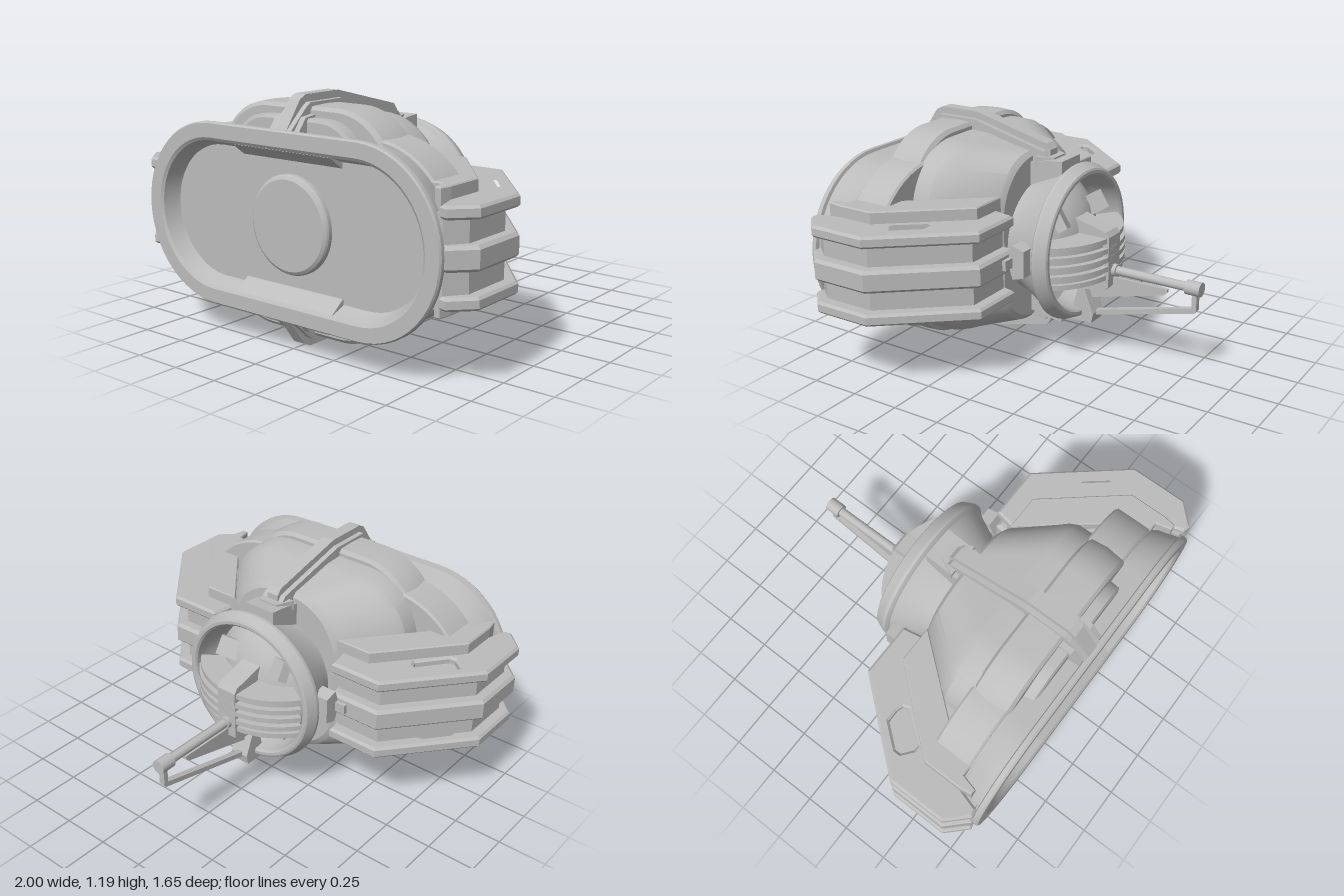
import * as THREE from 'three';
import { toCreasedNormals } from 'three/addons/utils/BufferGeometryUtils.js';

const CY = 0.597; // height of the central axis

export function createModel() {
  const model = new THREE.Group();
  model.name = 'pod';
  const grey = new THREE.MeshStandardMaterial({ color: 0xbcbcbc });
  grey.name = 'grey metal';

  const add = (name, geo, x = 0, y = 0, z = 0) => {
    const mesh = new THREE.Mesh(geo, grey);
    mesh.name = name;
    mesh.position.set(x, y, z);
    model.add(mesh);
    return mesh;
  };
  const toShape = (pts) => new THREE.Shape(pts.map(([a, b]) => new THREE.Vector2(a, b)));

  // Skin through rounded sections [z, halfWidth, halfHeight, cornerRadius], front to back
  const loft = (sections) => {
    const pos = [], idx = [], Q = 14, N = Q * 4;
    for (const [z, hx, hy, r = Math.min(hx, hy)] of sections) {
      for (let q = 0; q < 4; q++) {
        const sx = q === 0 || q === 3 ? 1 : -1, sy = q < 2 ? 1 : -1;
        for (let k = 0; k < Q; k++) {
          const a = (q + k / (Q - 1)) * Math.PI / 2;
          pos.push(sx * (hx - r) + r * Math.cos(a), sy * (hy - r) + r * Math.sin(a), z);
        }
      }
    }
    for (let i = 0; i < sections.length - 1; i++) {
      for (let j = 0; j < N; j++) {
        const a = i * N + j, b = i * N + (j + 1) % N;
        idx.push(a, a + N, b + N, a, b + N, b);
      }
    }
    const g = new THREE.BufferGeometry();
    g.setAttribute('position', new THREE.Float32BufferAttribute(pos, 3));
    g.setIndex(idx);
    return toCreasedNormals(g, 0.4);
  };

  // Side profile [z, y] extruded across x, centred on x = 0
  const across = (pts, half) => new THREE.ExtrudeGeometry(toShape(pts), { depth: half * 2, bevelEnabled: false })
    .translate(0, 0, -half).rotateY(-Math.PI / 2);

  // Plan outline [x, z] extruded from y0 to y1, with optional hole and chamfer
  const slab = (pts, y0, y1, s, hole, bevel = 0) => {
    const flip = (list) => list.map(([x, z]) => [x * s, -z]);
    const shape = toShape(flip(pts));
    if (hole) shape.holes.push(toShape(flip(hole)));
    return new THREE.ExtrudeGeometry(shape, {
      depth: y1 - y0 - 2 * bevel, bevelEnabled: bevel > 0, bevelSize: bevel,
      bevelThickness: bevel, bevelOffset: -bevel, bevelSegments: 1,
    }).rotateX(-Math.PI / 2).translate(0, y0 + bevel, 0);
  };

  // Front frame with its recess
  add('frontFrame', loft([
    [0.735, 0.45, 0], [0.735, 0.77, 0.325], [0.745, 0.775, 0.33], [0.815, 0.80, 0.355],
    [0.825, 0.815, 0.37], [0.825, 0.885, 0.438], [0.815, 0.892, 0.445], [0.795, 0.892, 0.445],
    [0.79, 0.875, 0.43], [0.68, 0.85, 0.405], [0.62, 0.8, 0.4],
  ]), 0, CY);

  // Hull: wide flange, raised centre band with front lip, and rounded rear shell
  add('hullFlange', loft([
    [0.66, 0.6, 0.2], [0.66, 0.83, 0.42], [0.65, 0.84, 0.43], [0.47, 0.84, 0.43], [0.46, 0.83, 0.42], [0.46, 0.5, 0.2],
  ]), 0, CY);
  add('hullLip', loft([
    [0.728, 0.2, 0.36, 0.1], [0.728, 0.38, 0.48, 0.22], [0.72, 0.39, 0.495, 0.22], [0.66, 0.39, 0.495, 0.22],
  ]), 0, CY);
  add('hullBand', loft([
    [0.67, 0.4, 0.4, 0.3], [0.67, 0.51, 0.525, 0.3], [0.655, 0.53, 0.542, 0.31], [0.56, 0.54, 0.546, 0.315],
    [0.48, 0.53, 0.543, 0.31], [0.465, 0.51, 0.525, 0.3], [0.465, 0.4, 0.4, 0.3],
  ]), 0, CY);
  add('rearShell', loft([
    [0.47, 0.56, 0.507, 0.32], [0.37, 0.558, 0.503, 0.32], [0.33, 0.54, 0.495, 0.32], [0.28, 0.495, 0.482, 0.31],
    [0.11, 0.35, 0.447, 0.28], [0.10, 0.335, 0.435, 0.27], [0.09, 0.32, 0.425, 0.27], [0.09, 0.27, 0.27],
  ]), 0, CY);

  // Flared neck, rear ring and sunken dome
  add('neckAndRing', loft([
    [0.10, 0.29, 0.29], [0.05, 0.30, 0.30], [-0.09, 0.37, 0.37], [-0.11, 0.38, 0.38], [-0.115, 0.39, 0.39],
    [-0.125, 0.402, 0.402], [-0.14, 0.402, 0.402], [-0.19, 0.38, 0.38], [-0.195, 0.37, 0.37], [-0.195, 0.355, 0.355],
    [-0.185, 0.345, 0.345], [-0.06, 0.325, 0.325], [-0.03, 0.31, 0.31], [-0.09, 0.26, 0.26], [-0.14, 0.19, 0.19],
    [-0.17, 0.12, 0.12], [-0.19, 0, 0],
  ]), 0, CY);

  // Recess fittings: round boss and sloped ledges
  add('frontBoss', loft([[0.775, 0, 0], [0.775, 0.215, 0.215], [0.765, 0.23, 0.23], [0.755, 0.236, 0.236],
    [0.73, 0.236, 0.236]]), 0, CY);
  for (const s of [1, -1]) {
    add(s > 0 ? 'upperLedge' : 'lowerLedge', across(
      [[0.73, s * 0.298], [0.742, s * 0.298], [0.814, s * 0.353], [0.73, s * 0.353]], 0.30), 0, CY);
  }

  // Side armour
  const finPlan = [[0.38, -0.01], [0.655, -0.01], [1.0, 0.40], [1.0, 0.70], [0.90, 0.80], [0.86, 0.79],
    [0.83, 0.69], [0.60, 0.66], [0.40, 0.40], [0.36, 0.10]];
  const gapPlan = [[0.39, 0.05], [0.63, 0.05], [0.94, 0.42], [0.94, 0.69], [0.87, 0.78], [0.84, 0.78],
    [0.82, 0.69], [0.60, 0.66], [0.40, 0.40], [0.37, 0.12]];
  const basePlan = [[0.33, 0.10], [0.52, 0.10], [0.84, 0.48], [0.84, 0.68], [0.83, 0.74], [0.80, 0.74],
    [0.78, 0.66], [0.70, 0.66], [0.69, 0.54]];
  const slot = [[0.78, 0.22], [0.87, 0.33], [0.87, 0.36], [0.82, 0.40], [0.79, 0.40], [0.68, 0.26], [0.69, 0.23], [0.72, 0.22]];
  for (const s of [1, -1]) {
    const side = s > 0 ? 'left' : 'right';
    add(side + 'ArmourBase', slab(basePlan, 0.315, 0.88, s, null, 0.006));
    add(side + 'ArmourCore', slab(gapPlan, 0.41, 0.785, s));
    add(side + 'UpperFin', slab(finPlan, 0.76, 0.82, s, slot, 0.012));
    add(side + 'MiddleFin', slab(finPlan, 0.54, 0.652, s, null, 0.015));
    add(side + 'LowerFin', slab(finPlan, 0.375, 0.435, s, slot, 0.012));

    // Neck side clamps
    const clamp = new THREE.ExtrudeGeometry(
      toShape([[-0.095, 0.53], [-0.095, 0.665], [-0.03, 0.685], [0.0, 0.60], [-0.03, 0.51]]),
      { depth: 0.08, bevelEnabled: false }).rotateY(-Math.PI / 2);
    add(side + 'NeckClamp', clamp, s > 0 ? 0.425 : -0.345);
    add(side + 'ClampPin', new THREE.BoxGeometry(0.14, 0.05, 0.02), s * 0.41, CY, -0.02);
  }

  // Straps over the top and under the bottom
  for (const s of [1, -1]) {
    const side = s > 0 ? 'upper' : 'lower';
    const at = (pts) => pts.map(([z, d]) => [z, CY + s * d]);
    const strap = (d) => at([[0.805, 0.44], [0.71 - d * 0.3, 0.575 - d], [0.67, 0.595 - d], [0.45, 0.595 - d],
      [0.03, 0.49 - d], [0.005, 0.46 - d], [0.005, 0.38], [0.1, 0.38], [0.45, 0.45], [0.66, 0.45], [0.78, 0.40]]);
    add(side + 'StrapRidge', across(strap(0), 0.033));
    add(side + 'StrapBand', across(strap(0.035), 0.06));
    add(side + 'StrapFoot', across(at([[0.79, 0.43], [0.735, 0.50], [0.66, 0.51], [0.66, 0.4], [0.79, 0.38]]), 0.09));
    const plate = slab([[-0.09, 0.06], [-0.05, -0.03], [0.05, -0.03], [0.09, 0.06]], -0.025, 0.025, 1);
    add(side + 'StrapEnd', plate, 0, CY + s * 0.405);
    add(side + 'NeckClamp', across(at([[-0.095, 0.36], [-0.095, 0.427], [-0.02, 0.42], [0.09, 0.40], [0.09, 0.28]]), 0.085));
  }

  // Curved louvres inside the rear ring
  const arc = (name, y, h, r) => add(name,
    new THREE.CylinderGeometry(r, r, h, 40, 1, false, Math.PI - 0.95, 1.9), 0, y, 0.06);
  for (let i = 0; i < 5; i++) arc('louvre', 0.46 + i * 0.048, 0.026, i === 0 || i === 4 ? 0.40 : 0.41);
  arc('louvreCore', 0.555, 0.22, 0.38);

  // Slanted vents either side of the strut
  for (const s of [1, -1]) for (const v of [1, -1]) {
    const vent = add('vent', new THREE.BoxGeometry(0.16, 0.10, 0.05), s * 0.14, CY + v * 0.16 - 0.01, -0.125);
    vent.rotation.set(v * 0.55, s * 0.45, 0);
  }

  // Central strut
  add('rearStrut', across([[-0.10, 0.76], [-0.19, 0.73], [-0.33, 0.695], [-0.348, 0.67], [-0.348, 0.41],
    [-0.33, 0.39], [-0.20, 0.37], [-0.10, 0.36]], 0.055));

  // Probe rod with its collar and tip
  const rod = (name, r, z0, z1) => add(name,
    new THREE.CylinderGeometry(r, r, z0 - z1, 24).rotateX(Math.PI / 2), 0, 0.487, (z0 + z1) / 2);
  rod('rodCollar', 0.032, -0.33, -0.37);
  rod('rod', 0.023, -0.35, -0.77);
  rod('rodTip', 0.036, -0.75, -0.828);

  // Support bracket under the rod
  add('bracketFoot', across([[-0.12, 0.185], [-0.25, 0.19], [-0.26, 0.24], [-0.195, 0.40], [-0.17, 0.37]], 0.05));
  add('bracketArm', across([[-0.24, 0.222], [-0.80, 0.362], [-0.81, 0.375], [-0.81, 0.47], [-0.785, 0.47],
    [-0.785, 0.385], [-0.245, 0.25]], 0.016));
  add('bracketWeb', across([[-0.22, 0.31], [-0.63, 0.415], [-0.65, 0.435], [-0.65, 0.45], [-0.33, 0.45], [-0.2, 0.40]], 0.008));

  return model;
}
